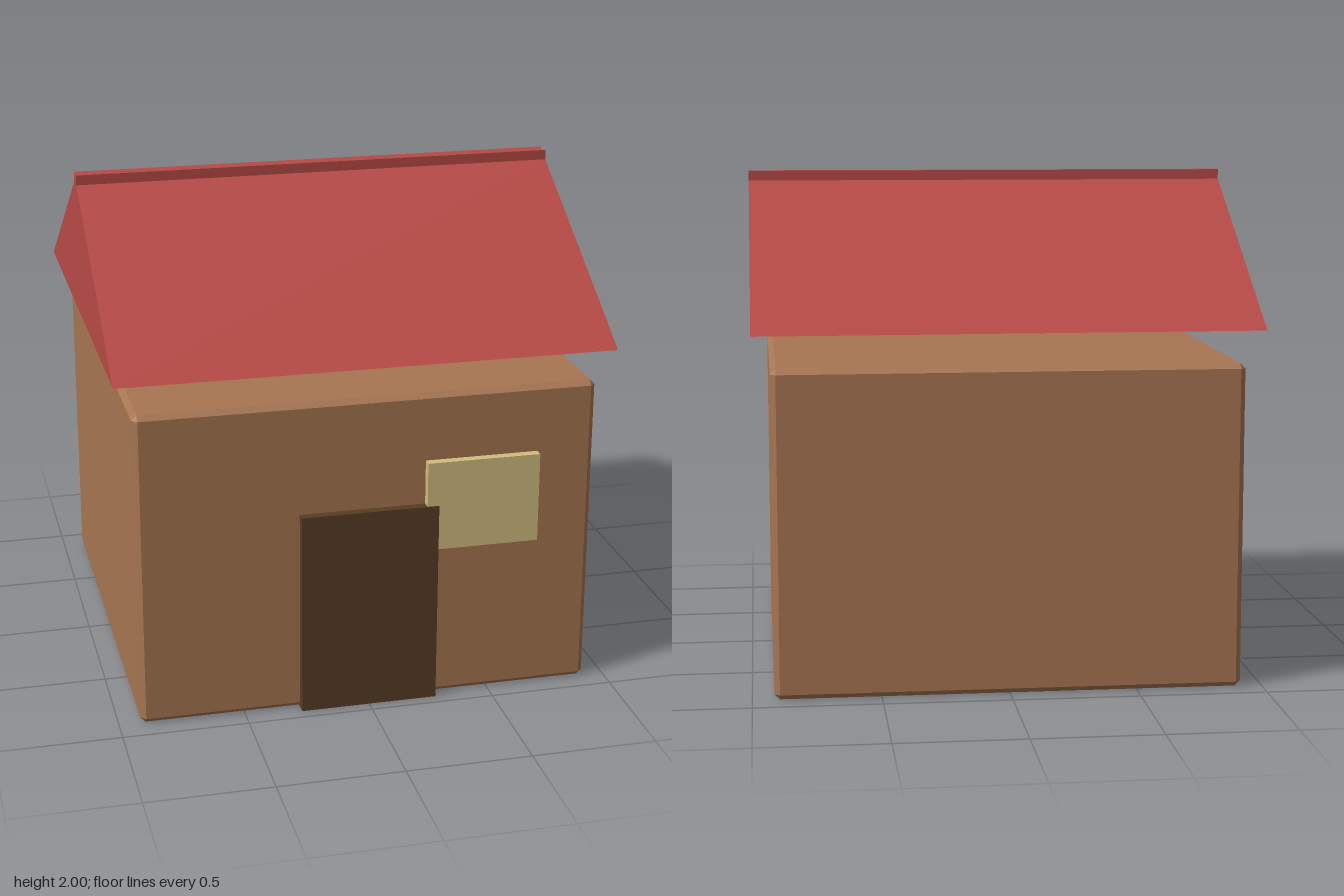
import * as THREE from 'three';
import { ConvexGeometry } from 'three/addons/geometries/ConvexGeometry.js';

const material = (name, color) => {
  const m = new THREE.MeshStandardMaterial({ color });
  m.name = name;
  return m;
};

// Box with every edge cut by a flat chamfer
function chamferedBox(w, h, d, c) {
  const points = [];
  for (const sx of [-1, 1]) for (const sy of [-1, 1]) for (const sz of [-1, 1]) {
    for (let axis = 0; axis < 3; axis++) {
      const inset = [c, c, c];
      inset[axis] = 0;
      points.push(new THREE.Vector3(
        sx * (w / 2 - inset[0]), sy * (h / 2 - inset[1]), sz * (d / 2 - inset[2])));
    }
  }
  return new ConvexGeometry(points);
}

export function createModel() {
  const wall = material('wall brown', 0xa87652);
  const roofRed = material('roof red', 0xb84a46);
  const doorBrown = material('door dark brown', 0x573d24);
  const windowYellow = material('window yellow', 0xd2bd7f);

  const house = new THREE.Group();
  house.name = 'house';
  const add = (name, geometry, mat, x = 0, y = 0, z = 0) => {
    const mesh = new THREE.Mesh(geometry, mat);
    mesh.name = name;
    mesh.position.set(x, y, z);
    house.add(mesh);
  };

  // Walls: chamfered block
  add('walls', chamferedBox(1.83, 1.285, 1.83, 0.021), wall, 0, 0.6425, 0);

  // Door and window slabs standing out of the front wall
  add('door', new THREE.BoxGeometry(0.55, 0.83, 0.06), doorBrown, 0, 0.415, 0.922);
  add('window', new THREE.BoxGeometry(0.455, 0.365, 0.06), windowYellow, 0.455, 0.8275, 0.921);

  // Floating gable roof with a notched ridge, extruded along x
  const profile = new THREE.Shape([
    [-0.95, 1.415], [0.95, 1.415], [0.033, 1.96], [0.033, 2],
    [0, 1.98], [-0.033, 2], [-0.033, 1.96],
  ].map(([z, y]) => new THREE.Vector2(z, y)));
  const roof = new THREE.ExtrudeGeometry(profile, { depth: 1.97, bevelEnabled: false });
  roof.translate(0, 0, -0.985).rotateY(Math.PI / 2);
  add('roof', roof, roofRed);

  return house;
}
